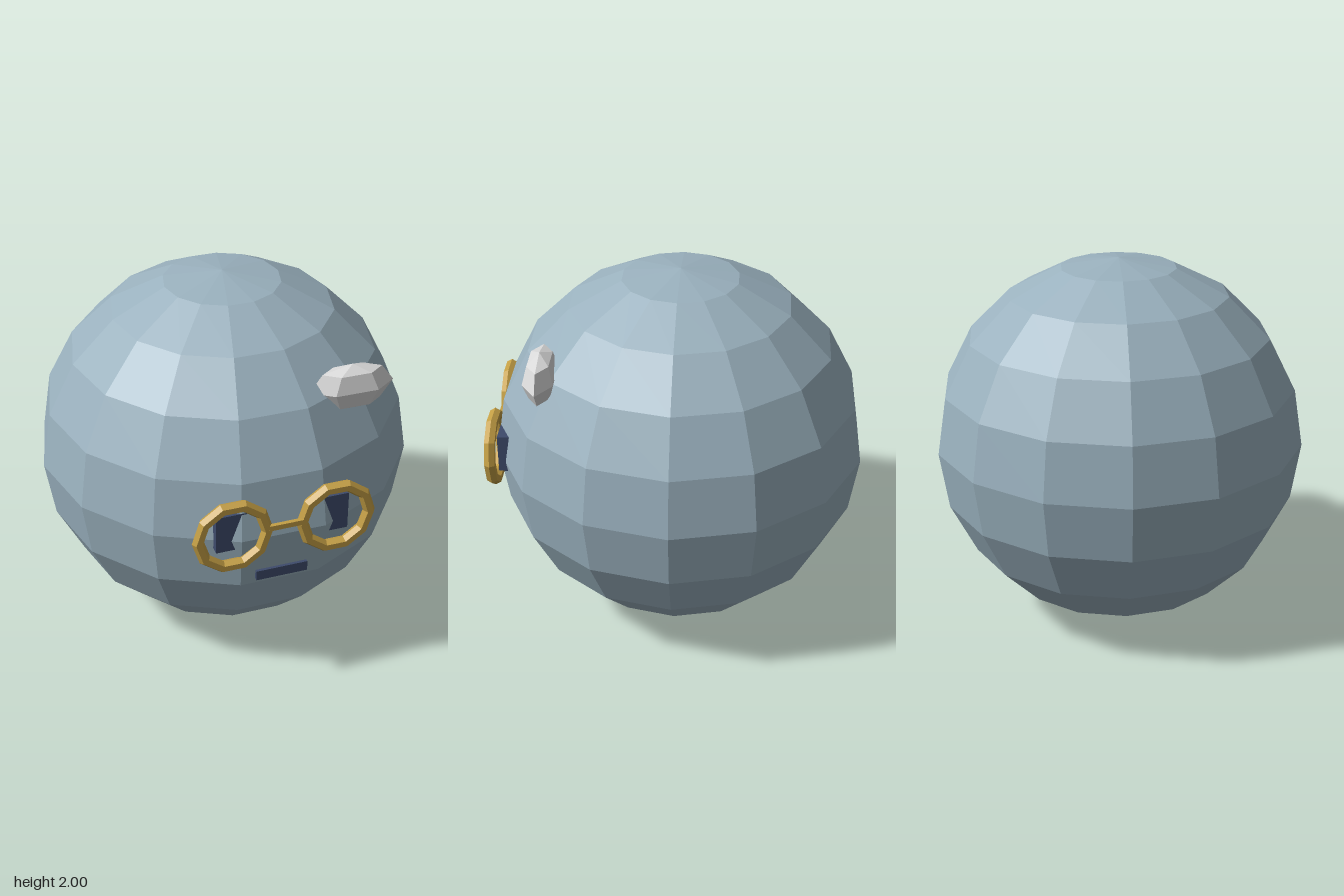
import * as THREE from 'three';

const mat = (name, color) => {
  const m = new THREE.MeshStandardMaterial({ color });
  m.name = name;
  return m;
};

// Faceted normals, one per face
const faceted = (geometry) => {
  const g = geometry.toNonIndexed();
  g.computeVertexNormals();
  return g;
};

export function createModel() {
  const model = new THREE.Group();
  model.name = 'roundHead';
  const skin = mat('blueGrey', 0x9ab1be);
  const gold = mat('gold', 0xc49f45);
  const navy = mat('navy', 0x3e4b6b);
  const pale = mat('paleGrey', 0xd9d9d9);

  const add = (name, geometry, material, x, y, z, parent = model) => {
    const mesh = new THREE.Mesh(faceted(geometry), material);
    mesh.name = name;
    mesh.position.set(x, y, z);
    parent.add(mesh);
    return mesh;
  };

  // Head
  add('head', new THREE.SphereGeometry(1, 14, 10), skin, 0, 1, -0.02);

  // Tuft half sunk into the brow
  add('tuft', new THREE.SphereGeometry(1, 6, 4).scale(0.227, 0.128, 0.09), pale, 0.455, 1.602, 0.66);

  // Glasses and the eyes behind them
  const glasses = new THREE.Group();
  glasses.name = 'glasses';
  model.add(glasses);
  for (const [side, s] of [['left', 1], ['right', -1]]) {
    add(side + 'Rim', new THREE.TorusGeometry(0.18, 0.032, 6, 10), gold, s * 0.272, 1.05, 0.957, glasses);
    add(side + 'Eye', new THREE.BoxGeometry(0.16, 0.21, 0.08), navy, s * 0.27, 1.05, 0.892);
  }
  add('bridge', new THREE.BoxGeometry(0.18, 0.028, 0.022), gold, 0, 1.072, 0.977, glasses);

  // Mouth
  add('mouth', new THREE.BoxGeometry(0.275, 0.055, 0.04), navy, 0, 0.754, 0.917);

  return model;
}
